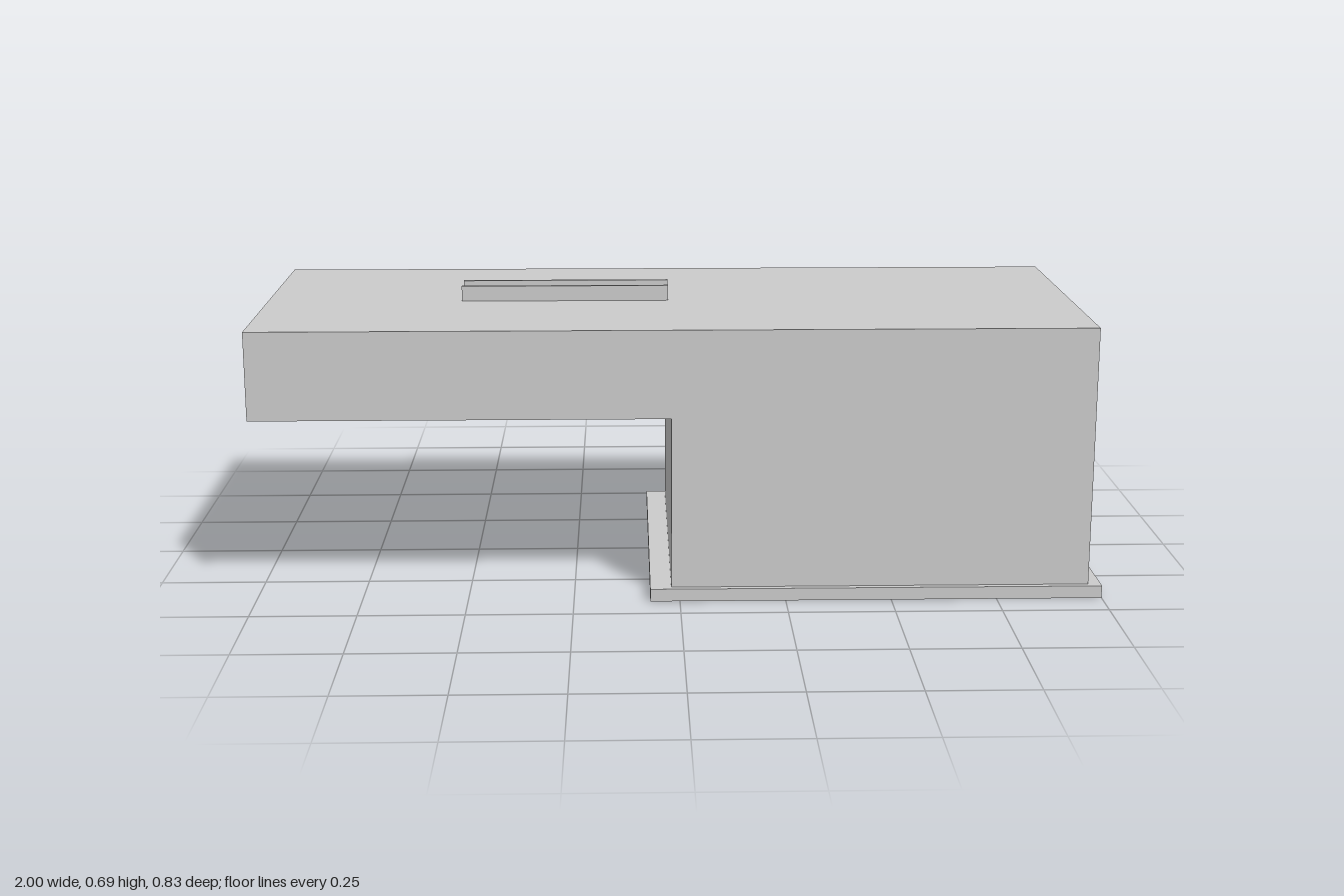
import * as THREE from 'three';

export function createModel() {
  const model = new THREE.Group();
  const grey = new THREE.MeshStandardMaterial({ color: 0xcccccc });
  grey.name = 'light grey';
  const T = 0.005; // shell wall thickness

  // Box given by its lower and upper corner
  function block(name, [x0, y0, z0], [x1, y1, z1], parent = model) {
    const mesh = new THREE.Mesh(new THREE.BoxGeometry(x1 - x0, y1 - y0, z1 - z0), grey);
    mesh.position.set((x0 + x1) / 2, (y0 + y1) / 2, (z0 + z1) / 2);
    mesh.name = name;
    parent.add(mesh);
    return mesh;
  }

  function group(name) {
    const g = new THREE.Group();
    g.name = name;
    model.add(g);
    return g;
  }

  const xEnd = -1, xStep = -0.02, xBack = 0.97;
  const zMin = -0.404, zMax = 0.4;
  const ySeam = 0.228, yUnder = 0.44, yTop = 0.65;

  // Foundation slab and the solid lower block
  block('baseSlab', [-0.07, 0, -0.417], [1, 0.03, 0.415]);
  block('lowerBlock', [xStep, 0.03, zMin], [xBack, ySeam, zMax]);

  // Upper shell: stepped side walls, roof and end walls, open under the overhang
  const shell = group('upperShell');
  const side = new THREE.Shape([
    [xEnd, yUnder], [xStep, yUnder], [xStep, ySeam], [xBack, ySeam], [xBack, yTop], [xEnd, yTop],
  ].map(([x, y]) => new THREE.Vector2(x, y)));
  const sideGeometry = new THREE.ExtrudeGeometry(side, { depth: T, bevelEnabled: false });
  for (const [name, z] of [['frontWall', zMax - T], ['rearWall', zMin]]) {
    const wall = new THREE.Mesh(sideGeometry, grey);
    wall.position.z = z;
    wall.name = name;
    shell.add(wall);
  }
  const zi0 = zMin + T, zi1 = zMax - T;
  block('roof', [xEnd, yTop - T, zi0], [xBack, yTop, zi1], shell);
  block('overhangEndWall', [xEnd, yUnder, zi0], [xEnd + T, yTop - T, zi1], shell);
  block('stepWall', [xStep, ySeam, zi0], [xStep + T, yTop - T, zi1], shell);
  block('outerEndWall', [xBack - T, ySeam, zi0], [xBack, yTop - T, zi1], shell);

  // Open-bottomed chamber hanging inside the overhang
  const chamber = group('innerChamber');
  const cx0 = -0.8, cx1 = -0.525, cz0 = -0.13, cz1 = 0.2;
  const cTop = yTop - T;
  block('chamberEndWall', [cx0, yUnder, cz0], [cx0 + T, cTop, cz1], chamber);
  block('chamberInnerWall', [cx1 - T, yUnder, cz0], [cx1, cTop, cz1], chamber);
  for (const z of [cz0, cz1 - T]) {
    block('chamberSideWall', [cx0 + T, yUnder, z], [cx1 - T, cTop, z + T], chamber);
  }

  // Channel from chamber to block; its sides rise through the roof as two rails
  const channel = group('channel');
  const floorY = 0.53;
  for (const z of [-0.042, 0.032]) {
    block('channelRail', [cx1, floorY, z], [xStep, 0.687, z + 0.009], channel);
  }
  block('channelFloor', [cx1, floorY, -0.033], [xStep, floorY + T, 0.032], channel);

  return model;
}
